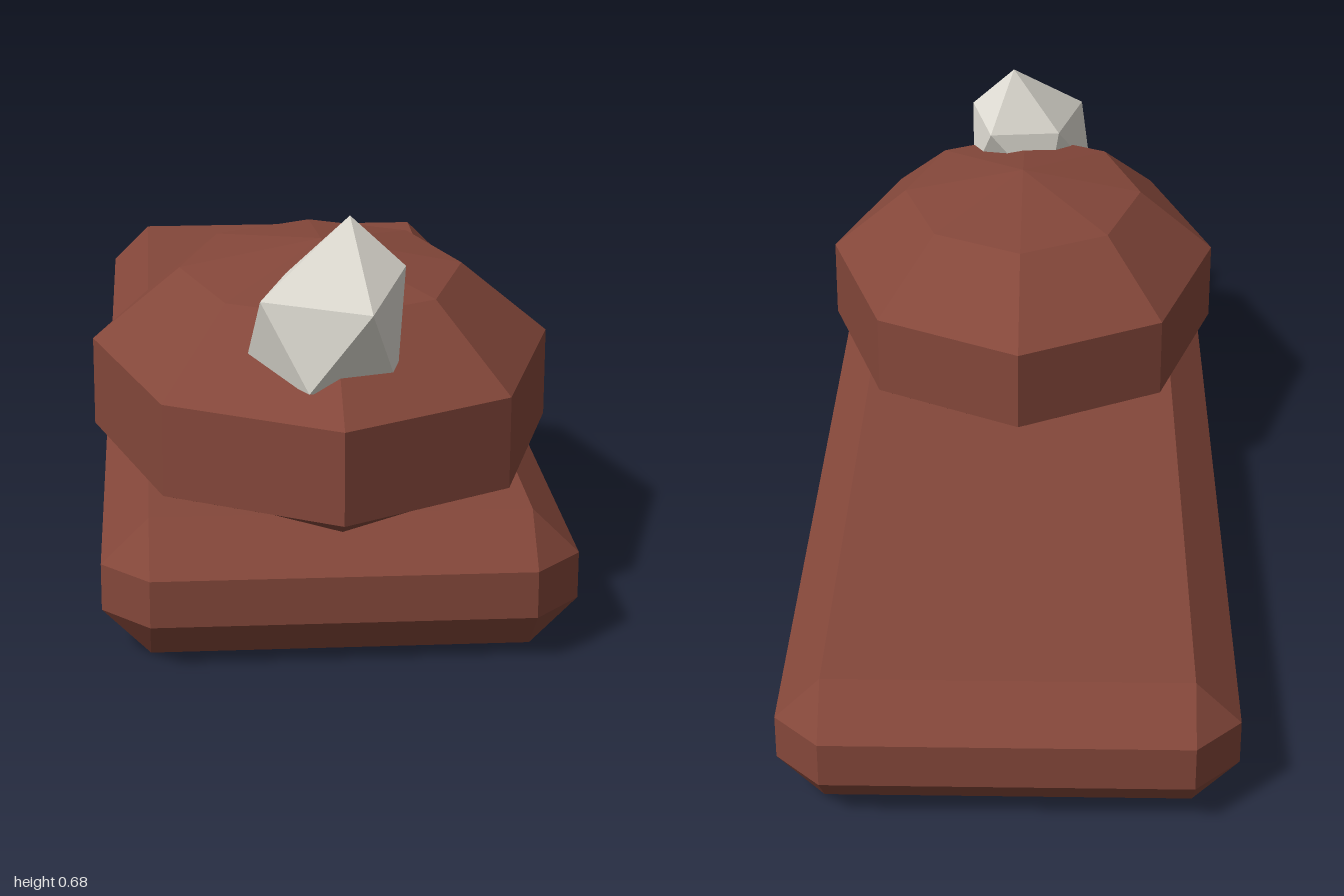
import * as THREE from 'three';
import { ConvexGeometry } from 'three/addons/geometries/ConvexGeometry.js';

const clay = new THREE.MeshStandardMaterial({ name: 'redBrown', color: 0x84473a, flatShading: true });
const stone = new THREE.MeshStandardMaterial({ name: 'paleStone', color: 0xdcd9d0, flatShading: true });

function addPart(group, name, geometry, material) {
  const mesh = new THREE.Mesh(geometry, material);
  mesh.name = name;
  group.add(mesh);
  return mesh;
}

// Box with every edge and corner cut off at 45 degrees
function chamferedBox(hx, hy, hz, c) {
  const points = [];
  for (const x of [-1, 1]) for (const y of [-1, 1]) for (const z of [-1, 1]) {
    points.push(
      new THREE.Vector3(x * hx, y * (hy - c), z * (hz - c)),
      new THREE.Vector3(x * (hx - c), y * hy, z * (hz - c)),
      new THREE.Vector3(x * (hx - c), y * (hy - c), z * hz),
    );
  }
  return new ConvexGeometry(points);
}

export function createModel() {
  const model = new THREE.Group();
  model.name = 'model';

  // Long flat base
  addPart(model, 'base', chamferedBox(0.383, 0.116, 1, 0.077), clay).position.y = 0.116;

  // Squashed eight-sided dome near the front, sunk into the base
  const dome = addPart(model, 'dome', new THREE.SphereGeometry(1, 8, 5), clay);
  dome.scale.set(0.42, 0.252, 0.548);
  dome.position.set(0, 0.31, 0.461);

  // Irregular pebble resting on the front of the dome
  const corners = [
    [0.025, 0.677, 0.757], // tip
    [0.05, 0.552, 0.905], [0.115, 0.595, 0.77], [0.072, 0.578, 0.615], // upper ring
    [-0.074, 0.56, 0.677], [-0.125, 0.565, 0.86],
    [-0.05, 0.425, 0.905], [0.095, 0.42, 0.84], [0.112, 0.46, 0.7], // lower ring
    [-0.05, 0.43, 0.63], [-0.145, 0.44, 0.78],
    [0, 0.38, 0.75], // underside
  ];
  addPart(model, 'pebble', new ConvexGeometry(corners.map((p) => new THREE.Vector3(...p))), stone);

  return model;
}
